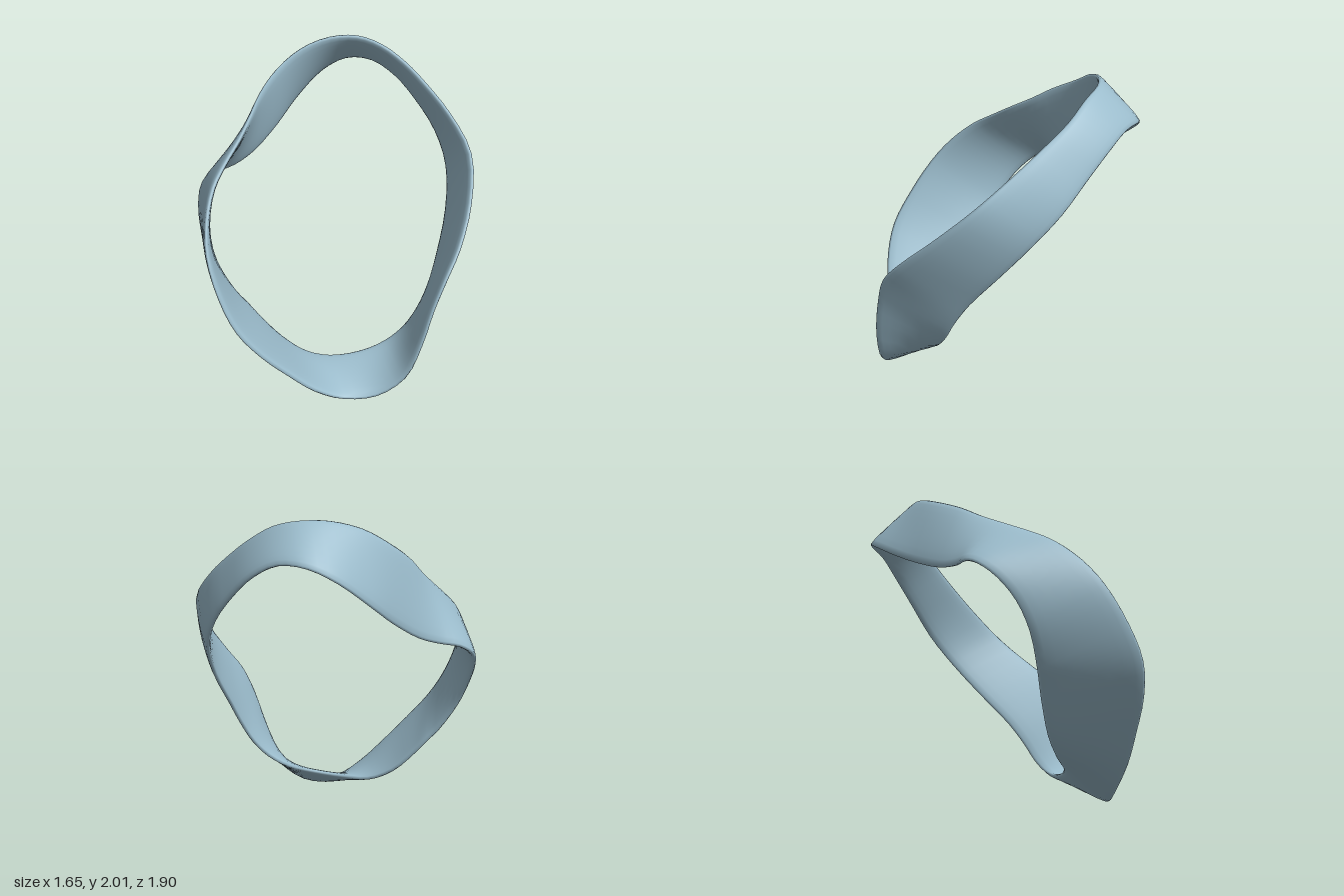
import * as THREE from 'three';

// Matching points along the two rims of the twisted band
const upperRim = [
  [-0.02, 0.80, 0.94], [-0.18, 1.03, 0.90], [-0.29, 1.20, 0.81], [-0.39, 1.35, 0.67],
  [-0.45, 1.45, 0.52], [-0.50, 1.55, 0.36], [-0.57, 1.65, 0.20], [-0.63, 1.74, 0.07],
  [-0.68, 1.85, -0.13], [-0.65, 1.95, -0.32], [-0.57, 2.00, -0.50], [-0.46, 2.00, -0.64],
  [-0.31, 1.96, -0.72], [-0.15, 1.87, -0.78], [0.02, 1.77, -0.80], [0.26, 1.62, -0.80],
  [0.50, 1.44, -0.75], [0.68, 1.21, -0.57], [0.79, 1.00, -0.36], [0.82, 0.84, -0.21],
  [0.81, 0.66, -0.12], [0.79, 0.41, -0.04], [0.73, 0.16, 0.04], [0.61, 0.02, 0.17],
  [0.48, 0.01, 0.34], [0.40, 0.12, 0.52], [0.32, 0.27, 0.67], [0.23, 0.44, 0.82],
  [0.12, 0.61, 0.92],
];
const lowerRim = [
  [-0.40, 0.52, 0.53], [-0.52, 0.71, 0.59], [-0.63, 0.88, 0.585], [-0.74, 1.02, 0.53],
  [-0.82, 1.12, 0.44], [-0.82, 1.18, 0.33], [-0.78, 1.21, 0.20], [-0.77, 1.26, 0.04],
  [-0.79, 1.38, -0.19], [-0.82, 1.50, -0.38], [-0.80, 1.66, -0.61], [-0.70, 1.75, -0.76],
  [-0.53, 1.76, -0.85], [-0.36, 1.68, -0.91], [-0.19, 1.55, -0.94], [0.00, 1.37, -0.95],
  [0.17, 1.18, -0.89], [0.31, 0.95, -0.75], [0.41, 0.71, -0.57], [0.45, 0.53, -0.45],
  [0.45, 0.40, -0.36], [0.43, 0.29, -0.25], [0.38, 0.21, -0.12], [0.30, 0.16, 0.04],
  [0.17, 0.13, 0.19], [0.02, 0.13, 0.28], [-0.14, 0.21, 0.36], [-0.27, 0.35, 0.44],
  [-0.33, 0.43, 0.48],
];

const closedCurve = (points) =>
  new THREE.CatmullRomCurve3(points.map((p) => new THREE.Vector3(...p)), true, 'centripetal');

// Sweeps a thin rounded lens section between two closed rims
function bandGeometry(rimA, rimB, steps, sides, halfThickness) {
  const a = closedCurve(rimA), b = closedCurve(rimB);
  const middle = (t) => a.getPoint(t).add(b.getPoint(t)).multiplyScalar(0.5);
  const positions = [], indices = [];
  for (let i = 0; i < steps; i++) {
    const t = i / steps;
    const centre = middle(t);
    const across = a.getPoint(t).sub(centre);
    const along = middle((t + 0.004) % 1).sub(middle((t + 0.996) % 1));
    const normal = along.cross(across).normalize();
    for (let j = 0; j < sides; j++) {
      const angle = (j / sides) * Math.PI * 2;
      const s = Math.sin(angle);
      const lift = halfThickness * Math.sign(s) * Math.pow(Math.abs(s), 0.7);
      const p = centre.clone().addScaledVector(across, Math.cos(angle)).addScaledVector(normal, lift);
      positions.push(p.x, p.y, p.z);
      const i2 = (i + 1) % steps, j2 = (j + 1) % sides;
      const p00 = i * sides + j, p01 = i * sides + j2;
      const p10 = i2 * sides + j, p11 = i2 * sides + j2;
      indices.push(p00, p01, p10, p01, p11, p10);
    }
  }
  const geometry = new THREE.BufferGeometry();
  geometry.setAttribute('position', new THREE.Float32BufferAttribute(positions, 3));
  geometry.setIndex(indices);
  geometry.computeVertexNormals();
  return geometry;
}

export function createModel() {
  const paleBlue = new THREE.MeshStandardMaterial({ color: 0x9bbccc });
  paleBlue.name = 'paleBlue';

  const model = new THREE.Group();
  model.name = 'twistedRing';

  const band = new THREE.Mesh(bandGeometry(upperRim, lowerRim, upperRim.length * 3, 20, 0.028), paleBlue);
  band.name = 'twistedBand';
  model.add(band);
  return model;
}
